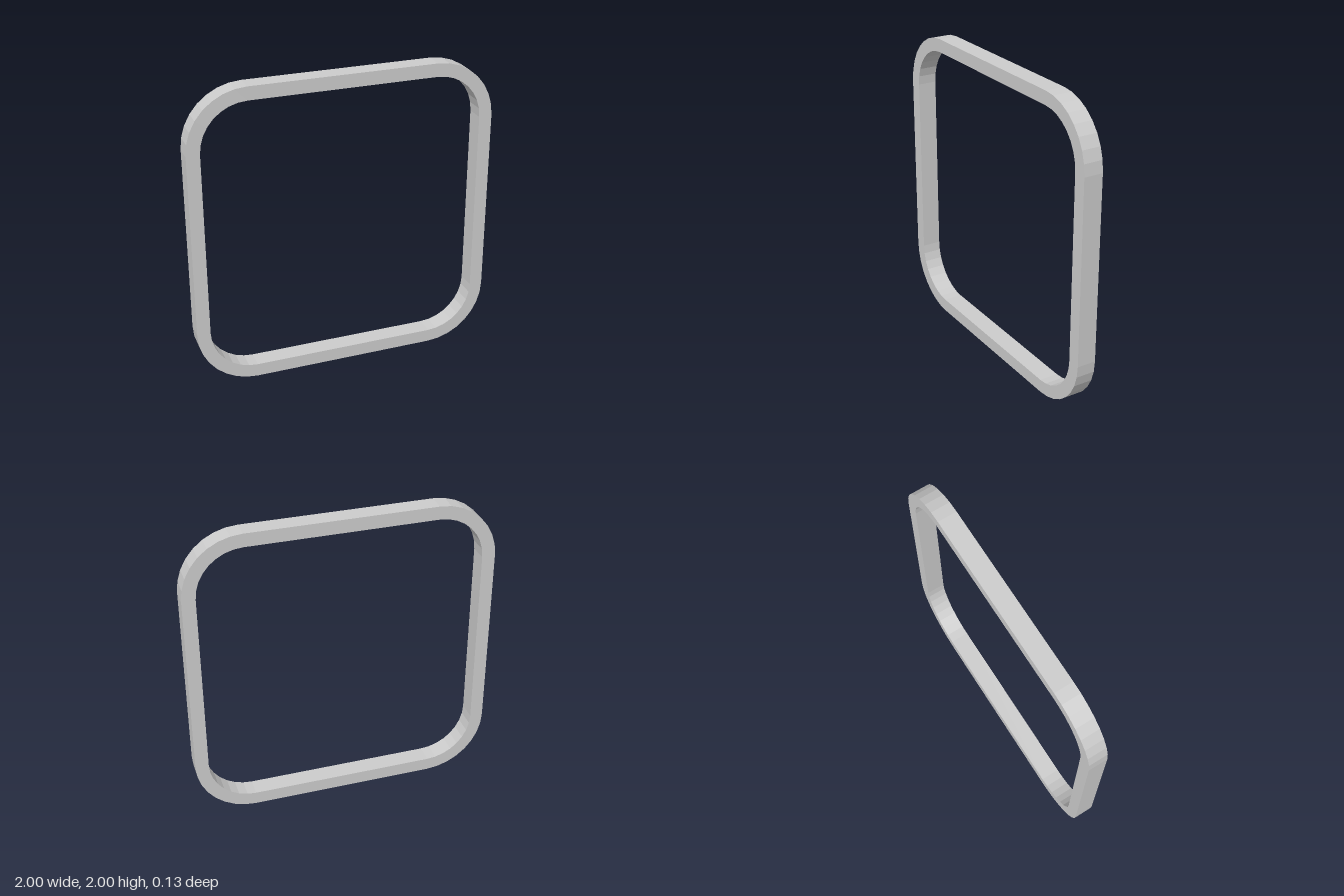
import * as THREE from 'three';

// Rounded square outline centred on the origin
function roundedSquare(path, half, radius) {
  const c = half - radius;
  path.moveTo(half, -c);
  [[c, c], [-c, c], [-c, -c], [c, -c]].forEach(([x, y], i) => {
    path.absarc(x, y, radius, i * Math.PI / 2, (i + 1) * Math.PI / 2, false);
  });
  path.closePath();
  return path;
}

export function createModel() {
  const width = 0.087, depth = 0.126, radius = 0.39;

  // Square ring with concentric rounded corners
  const shape = roundedSquare(new THREE.Shape(), 1, radius);
  shape.holes.push(roundedSquare(new THREE.Path(), 1 - width, radius - width));

  // Four divisions give eight flat facets per corner
  const geometry = new THREE.ExtrudeGeometry(shape, { depth, bevelEnabled: false, curveSegments: 4 });
  geometry.translate(0, 1, -depth / 2);

  const frame = new THREE.Mesh(
    geometry,
    new THREE.MeshStandardMaterial({ color: 0xcccccc, flatShading: true })
  );
  frame.name = 'roundedFrame';

  const model = new THREE.Group();
  model.name = 'squareFrame';
  model.add(frame);
  return model;
}
